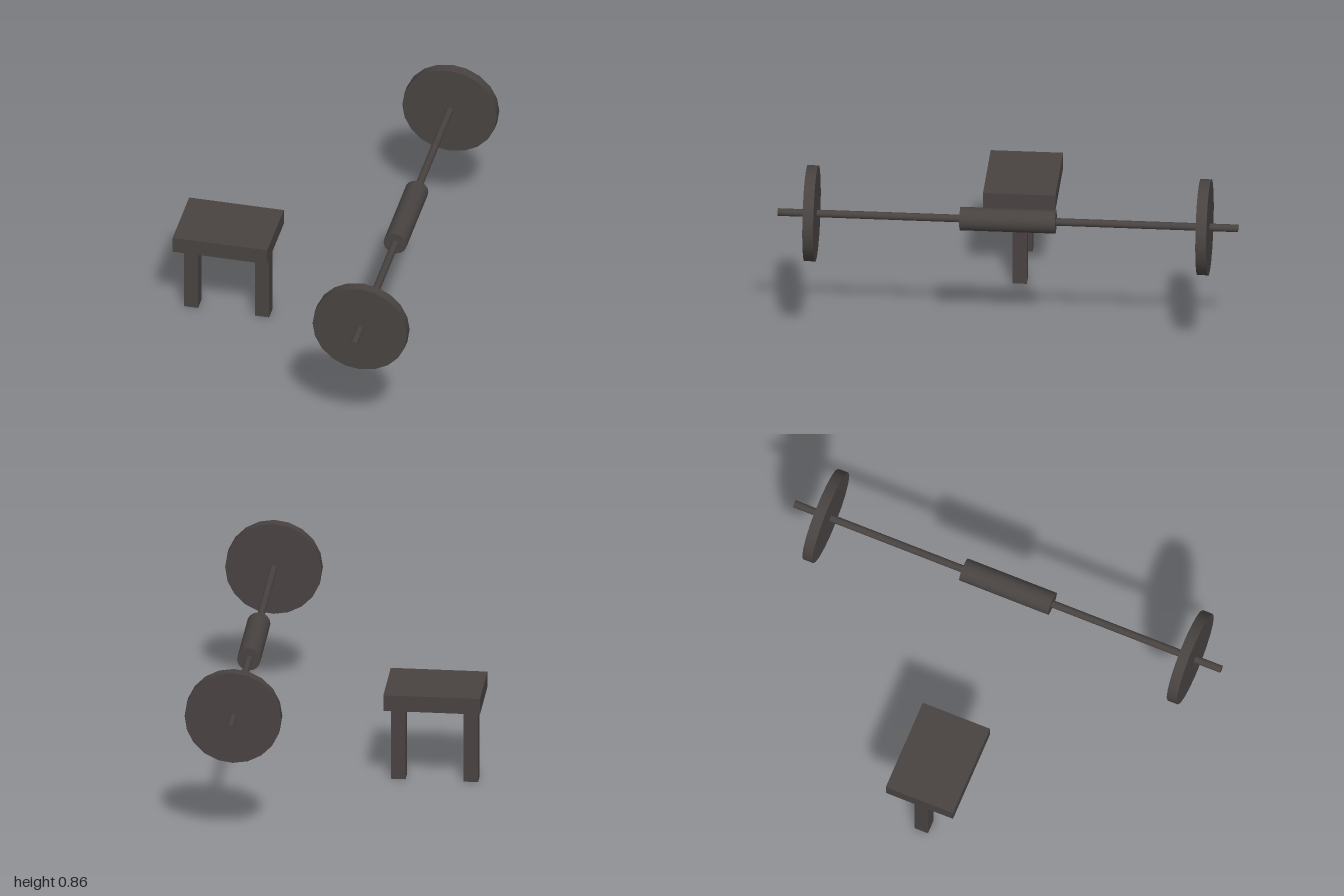
import * as THREE from 'three';

export function createModel() {
  const model = new THREE.Group();
  model.name = 'barbellAndBench';
  const iron = new THREE.MeshStandardMaterial({ color: 0x484341 });
  iron.name = 'dark iron';
  const turn = THREE.MathUtils.degToRad(20);

  function add(parent, name, geometry, x = 0, y = 0, z = 0) {
    const mesh = new THREE.Mesh(geometry, iron);
    mesh.name = name;
    mesh.position.set(x, y, z);
    parent.add(mesh);
  }
  // Cylinder lying along z
  const rod = (radius, length, sides) =>
    new THREE.CylinderGeometry(radius, radius, length, sides).rotateX(Math.PI / 2);

  // Barbell: bar, thick grip sleeve and a plate near each end
  const barbell = new THREE.Group();
  barbell.name = 'barbell';
  barbell.position.set(0.263, 0.639, 0);
  barbell.rotation.y = turn;
  add(barbell, 'bar', rod(0.0175, 2.115, 12));
  add(barbell, 'gripSleeve', rod(0.054, 0.44, 16));
  for (const side of [-1, 1]) {
    add(barbell, side > 0 ? 'frontPlate' : 'backPlate', rod(0.2225, 0.05, 20), 0, 0, side * 0.903);
  }
  model.add(barbell);

  // Bench: slab seat on two square legs
  const bench = new THREE.Group();
  bench.name = 'bench';
  bench.position.set(-0.524, 0, 0.284);
  bench.rotation.y = turn;
  add(bench, 'seat', new THREE.BoxGeometry(0.445, 0.077, 0.333), 0, 0.4285, 0);
  for (const side of [-1, 1]) {
    add(bench, side > 0 ? 'leftLeg' : 'rightLeg', new THREE.BoxGeometry(0.066, 0.39, 0.066), side * 0.167, 0.195, 0);
  }
  model.add(bench);

  return model;
}
